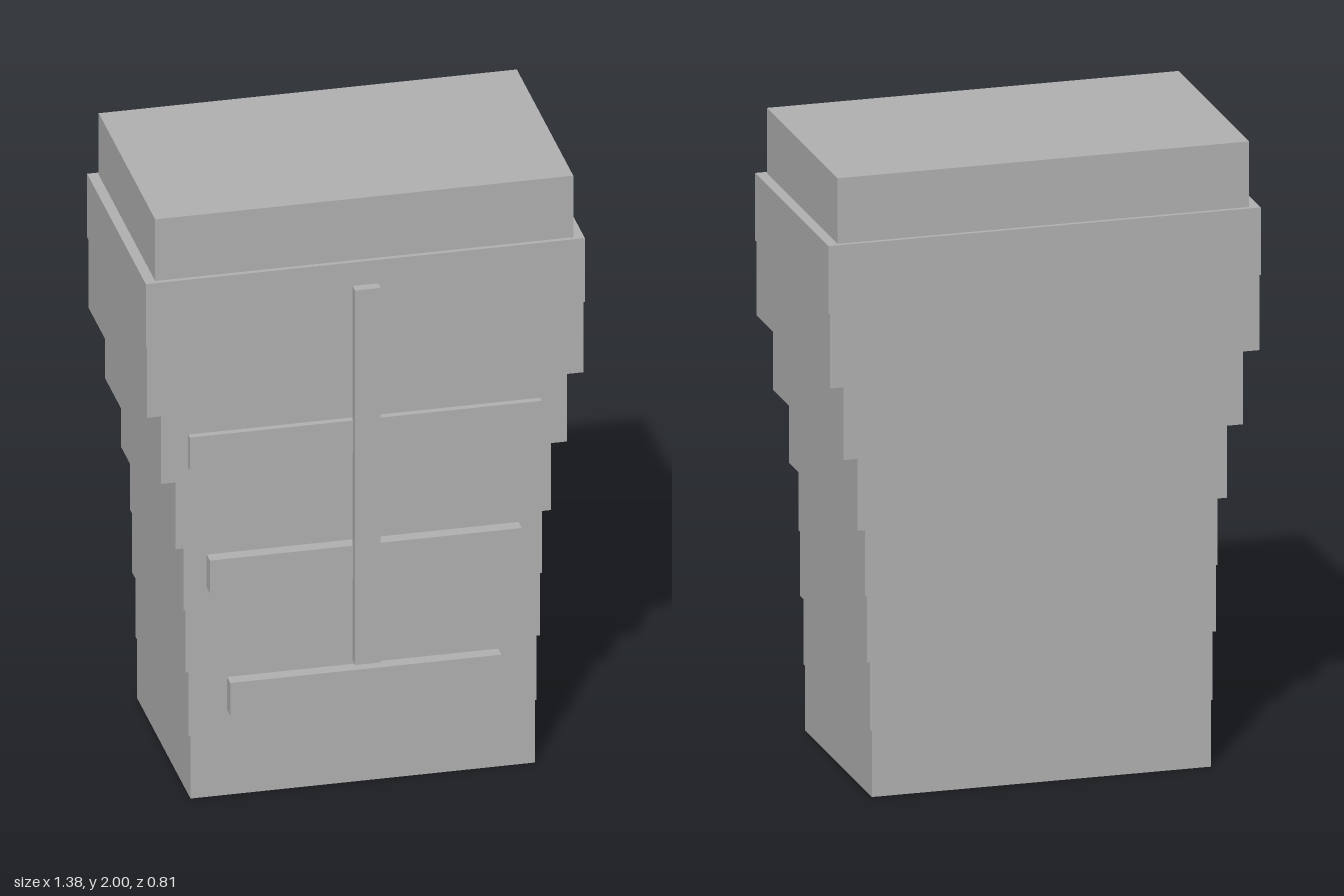
import * as THREE from 'three';

export function createModel() {
  const model = new THREE.Group();
  const grey = new THREE.MeshStandardMaterial({ color: 0xb0b0b0 });
  grey.name = 'grey';

  // Box centred on x = 0, given its half width and its y and z ranges
  function block(name, halfWidth, y0, y1, z0, z1, parent) {
    const mesh = new THREE.Mesh(new THREE.BoxGeometry(halfWidth * 2, y1 - y0, z1 - z0), grey);
    mesh.name = name;
    mesh.position.set(0, (y0 + y1) / 2, (z0 + z1) / 2);
    parent.add(mesh);
  }

  // Stacked body slabs, bottom to top: [half width, top height, depth]
  const body = new THREE.Group();
  body.name = 'body';
  model.add(body);
  const slabs = [
    [0.541, 0.213, 0.71],
    [0.547, 0.432, 0.71],
    [0.557, 0.645, 0.71],
    [0.563, 0.86, 0.71],
    [0.59, 1.095, 0.726],
    [0.638, 1.333, 0.752],
    [0.686, 1.573, 0.782],
    [0.69, 1.79, 0.782],
    [0.657, 2, 0.752],
  ];
  const bodyZ = -0.016;
  let bottom = 0;
  slabs.forEach(([halfWidth, top, depth], i) => {
    block(`bodySlab${i + 1}`, halfWidth, bottom, top, bodyZ - depth / 2, bodyZ + depth / 2, body);
    bottom = top;
  });

  // Horizontal bars on the front: [half width, bottom, top, back]
  const bars = [
    [0.426, 0.29, 0.402, 0.338],
    [0.49, 0.715, 0.827, 0.338],
    [0.553, 1.142, 1.254, 0.358],
  ];
  bars.forEach(([halfWidth, y0, y1, back], i) => {
    block(`frontBar${i + 1}`, halfWidth, y0, y1, back, 0.382, model);
  });

  // Vertical strip down the middle of the front
  block('centreStrip', 0.04, 0.432, 1.71, 0.371, 0.408, model);

  return model;
}
